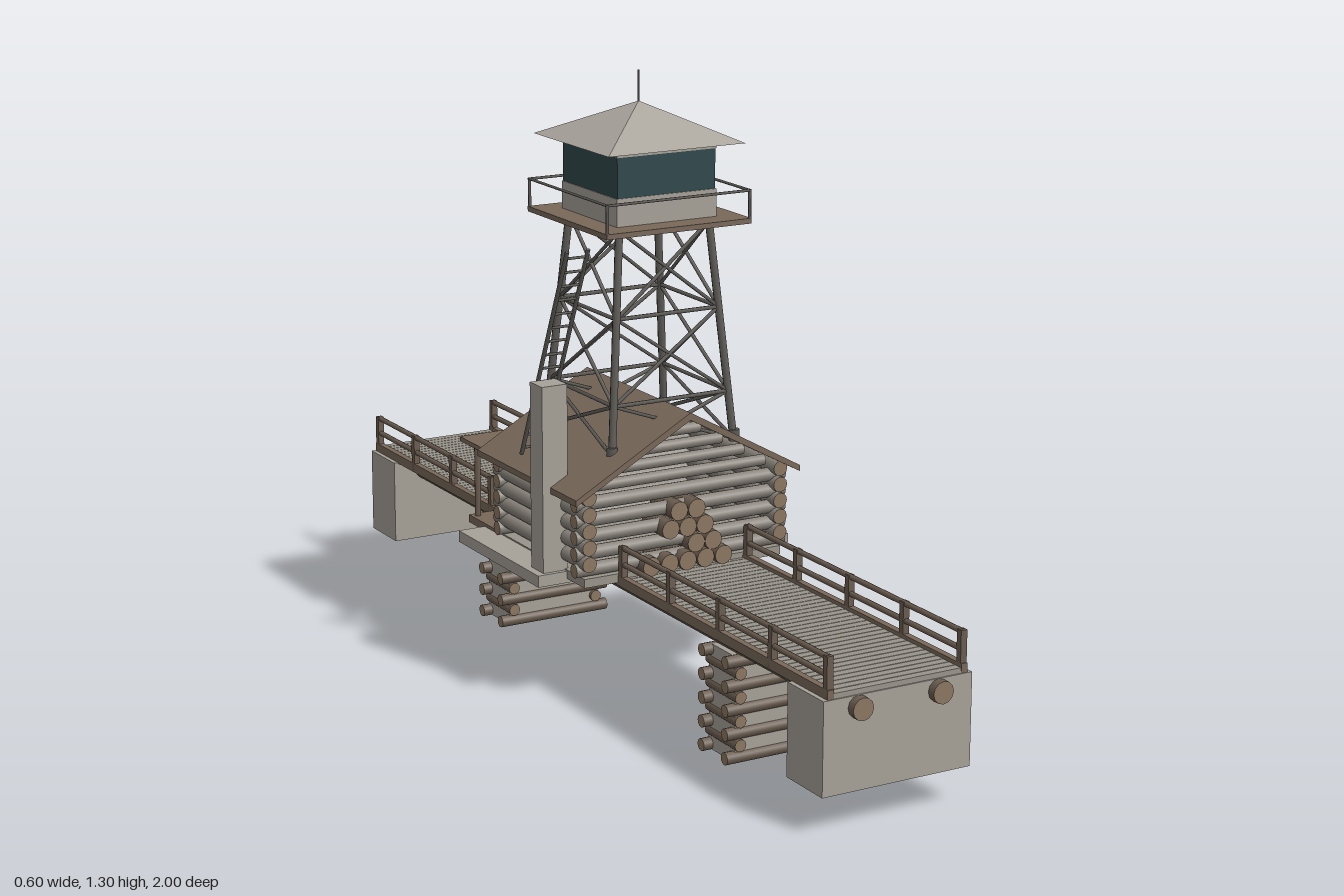
import * as THREE from 'three';

const mat = (name, color) => Object.assign(new THREE.MeshStandardMaterial({ color }), { name });

export function createModel() {
  const model = new THREE.Group();
  model.name = 'bridgeWatchtower';
  const concrete = mat('concrete', 0xa6a198);
  const planks = mat('weatheredPlanks', 0x99948a);
  const bark = mat('weatheredLog', 0x88827a);
  const darkLog = mat('darkLog', 0x6b5d50);
  const logEnd = mat('cutLogEnd', 0x8c7762);
  const brown = mat('brownBoards', 0x786859);
  const steel = mat('steel', 0x5f5c57);
  const glass = mat('glass', 0x2f474a);
  const roofMetal = mat('paleRoof', 0xaaa59d);

  const group = (name) => {
    const g = new THREE.Group();
    g.name = name;
    model.add(g);
    return g;
  };
  const add = (parent, name, geo, material) => {
    const m = new THREE.Mesh(geo, material);
    m.name = name;
    parent.add(m);
    return m;
  };
  // Box given by its minimum and maximum on each axis
  const box = (parent, name, material, x0, x1, y0, y1, z0, z1) => {
    const m = add(parent, name, new THREE.BoxGeometry(x1 - x0, y1 - y0, z1 - z0), material);
    m.position.set((x0 + x1) / 2, (y0 + y1) / 2, (z0 + z1) / 2);
    return m;
  };
  // Round bar between two points
  const bar = (parent, name, material, a, b, r, sides = 8) => {
    const p = new THREE.Vector3(...a), q = new THREE.Vector3(...b);
    const d = q.clone().sub(p);
    const m = add(parent, name, new THREE.CylinderGeometry(r, r, d.length(), sides), material);
    m.position.copy(p).add(q).multiplyScalar(0.5);
    m.quaternion.setFromUnitVectors(new THREE.Vector3(0, 1, 0), d.normalize());
    return m;
  };
  const log = (parent, name, side, a, b, r) => bar(parent, name, [side, logEnd, logEnd], a, b, r, 12);

  // Bridge: stringers, planks, curbs and abutments
  const bridge = group('bridge');
  for (const s of [-1, 1]) {
    log(bridge, 'stringer', darkLog, [s * 0.09, 0.247, -1], [s * 0.09, 0.247, 1], 0.023);
    box(bridge, 'curb', brown, s * 0.15 - 0.007, s * 0.15 + 0.007, 0.268, 0.289, -0.98, 0.98);
    box(bridge, 'abutment', concrete, -0.167, 0.167, 0.08, 0.27, s * 0.92 - 0.062, s * 0.92 + 0.062);
  }
  for (let i = 0; i < 98; i++) {
    const z = -0.97 + i * 0.02;
    box(bridge, 'deckPlank', planks, -0.145, 0.145, 0.268, 0.281, z - 0.009, z + 0.009);
  }

  // Bridge railings
  const railings = group('bridgeRailings');
  for (const x of [-0.15, 0.15]) {
    for (const [z0, z1, n] of [[0.2, 0.97, 4], [-0.39, -0.97, 3]]) {
      for (let i = 0; i <= n; i++) {
        const z = z0 + (z1 - z0) * i / n;
        box(railings, 'railPost', darkLog, x - 0.007, x + 0.007, 0.27, 0.354, z - 0.007, z + 0.007);
      }
      for (const y of [0.315, 0.35])
        bar(railings, 'rail', darkLog, [x, y, z0], [x, y, z1], 0.006);
    }
  }

  // Log crib piers with stone fill
  for (const z of [0.53, -0.435]) {
    const crib = group('cribPier');
    box(crib, 'stoneFill', concrete, -0.112, 0.112, 0.003, 0.225, z - 0.05, z + 0.05);
    for (const s of [-1, 1]) {
      for (let i = 0; i < 5; i++)
        log(crib, 'crossLog', darkLog, [-0.133, 0.014 + i * 0.05, z + s * 0.045], [0.133, 0.014 + i * 0.05, z + s * 0.045], 0.013);
      for (let i = 0; i < 4; i++)
        log(crib, 'tieLog', darkLog, [s * 0.103, 0.04 + i * 0.05, z - 0.058], [s * 0.103, 0.04 + i * 0.05, z + 0.058], 0.013);
    }
  }

  // Cabin base and porch floor
  const cabin = group('cabin');
  box(cabin, 'baseSlab', concrete, -0.302, 0.302, 0.265, 0.29, -0.25, 0.115);
  box(cabin, 'cabinFloor', planks, -0.235, 0.235, 0.274, 0.293, -0.19, 0.19);
  box(cabin, 'porchFloor', brown, -0.24, 0.24, 0.28, 0.297, -0.325, -0.18);

  // Log walls with crossing corners, and gables
  const pitch = 0.035;
  for (let i = 0; i < 5; i++) {
    const y = 0.308 + i * pitch;
    for (const s of [-1, 1]) {
      log(cabin, 'endWallLog', bark, [-0.25, y, s * 0.172], [0.25, y, s * 0.172], 0.0148);
      log(cabin, 'sideWallLog', bark, [s * 0.228, y + pitch / 2, -0.2], [s * 0.228, y + pitch / 2, 0.2], 0.0165);
    }
  }
  for (let i = 0; i < 4; i++) {
    const y = 0.482 + i * 0.031, half = (0.595 - y) * 1.7 + 0.01;
    for (const s of [-1, 1])
      log(cabin, 'gableLog', bark, [-half, y, s * 0.172], [half, y, s * 0.172], 0.012);
  }
  box(cabin, 'door', brown, -0.035, 0.035, 0.297, 0.43, -0.192, -0.184);
  for (const x of [-0.12, 0.12])
    box(cabin, 'cabinWindow', glass, x - 0.04, x + 0.04, 0.345, 0.425, -0.192, -0.184);

  // Gabled roof
  const chevron = new THREE.Shape([
    [-0.267, 0.458], [0, 0.604], [0.267, 0.458], [0.267, 0.471], [0, 0.62], [-0.267, 0.471],
  ].map(([x, y]) => new THREE.Vector2(x, y)));
  const roof = add(cabin, 'cabinRoof', new THREE.ExtrudeGeometry(chevron, { depth: 0.44, bevelEnabled: false }), brown);
  roof.position.z = -0.225;

  // Porch roof and posts
  box(cabin, 'porchRoof', brown, -0.252, 0.252, 0.461, 0.471, -0.34, -0.2);
  for (const x of [-0.225, -0.075, 0.075, 0.225])
    bar(cabin, 'porchPost', darkLog, [x, 0.29, -0.31], [x, 0.463, -0.31], 0.007);

  // Chimney
  box(cabin, 'chimney', concrete, -0.285, -0.227, 0.285, 0.685, 0.052, 0.105);

  // Stacked firewood
  const pile = group('woodpile');
  const rows = [
    [0.301, [-0.086, -0.043, 0, 0.043, 0.086]], [0.337, [0.02, 0.061]],
    [0.374, [-0.041, 0, 0.041]], [0.411, [-0.021, 0.021]],
  ];
  for (const [y, xs] of rows)
    for (const x of xs) log(pile, 'firewood', darkLog, [x, y, 0.12], [x, y, 0.207], 0.0205);

  // Tower frame: each level is [height, half width]
  const tower = group('towerFrame');
  const levels = [0.53, 0.632, 0.81, 0.99].map((y) => [y, 0.145 - (y - 0.53) * 0.085]);
  for (const [sx, sz] of [[1, 1], [1, -1], [-1, -1], [-1, 1]]) {
    const corner = ([y, w]) => [sx * w, y, sz * w];
    const next = ([y, w]) => [sz * w, y, -sx * w];
    bar(tower, 'leg', steel, corner(levels[0]), corner(levels[3]), 0.0085);
    bar(tower, 'footing', steel, [sx * 0.146, 0.525, sz * 0.146], [sx * 0.146, 0.55, sz * 0.146], 0.012);
    for (let i = 0; i < 3; i++) {
      bar(tower, 'brace', steel, corner(levels[i]), next(levels[i + 1]), 0.004, 6);
      bar(tower, 'brace', steel, next(levels[i]), corner(levels[i + 1]), 0.004, 6);
      if (i) bar(tower, 'girt', steel, corner(levels[i]), next(levels[i]), 0.0045, 6);
    }
  }

  // Balcony
  const lookout = group('lookout');
  box(lookout, 'balconyFloor', brown, -0.17, 0.17, 0.989, 1, -0.17, 0.17);
  for (const s of [-1, 1]) {
    const w = 0.167;
    bar(lookout, 'balconyRail', steel, [-w, 1.058, s * w], [w, 1.058, s * w], 0.003, 6);
    bar(lookout, 'balconyRail', steel, [s * w, 1.058, -w], [s * w, 1.058, w], 0.003, 6);
    for (const t of [-1, 1])
      bar(lookout, 'balconyPost', steel, [s * w, 0.995, t * w], [s * w, 1.06, t * w], 0.0035, 6);
  }

  // Lookout cab with window band and pyramid roof
  box(lookout, 'cabWall', concrete, -0.117, 0.117, 1, 1.058, -0.117, 0.117);
  box(lookout, 'windowBand', glass, -0.115, 0.115, 1.058, 1.142, -0.115, 0.115);
  box(lookout, 'cabHead', concrete, -0.117, 0.117, 1.142, 1.157, -0.117, 0.117);
  const hip = new THREE.ConeGeometry(0.16 * Math.SQRT2, 0.078, 4).rotateY(Math.PI / 4).toNonIndexed();
  hip.computeVertexNormals();
  add(lookout, 'cabRoof', hip, roofMetal).position.y = 1.194;
  bar(lookout, 'antenna', steel, [0, 1.22, 0], [0, 1.297, 0], 0.002, 6);

  // Leaning ladder
  const ladder = group('ladder');
  const foot = [0.497, -0.068], top = [0.967, 0.138];
  for (const x of [-0.243, -0.195])
    bar(ladder, 'ladderRail', steel, [x, ...foot], [x, ...top], 0.0045, 6);
  for (let i = 0; i < 15; i++) {
    const t = (i + 0.5) / 15;
    const y = foot[0] + (top[0] - foot[0]) * t, z = foot[1] + (top[1] - foot[1]) * t;
    bar(ladder, 'rung', steel, [-0.243, y, z], [-0.195, y, z], 0.003, 6);
  }
  return model;
}
